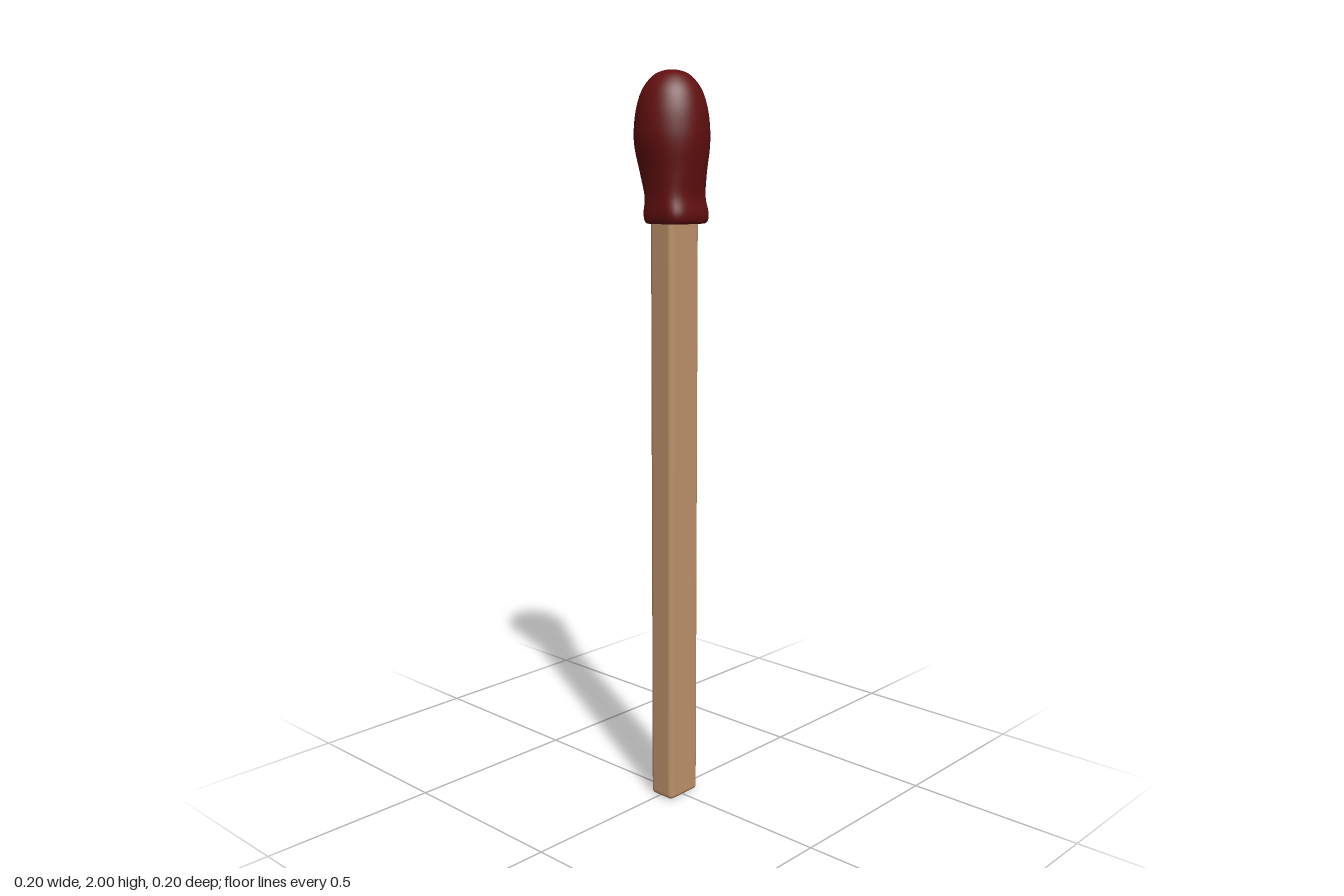
import * as THREE from 'three';
import { RoundedBoxGeometry } from 'three/addons/geometries/RoundedBoxGeometry.js';

const V = (x, y, z) => new THREE.Vector3(x, y, z);

// Head cross-sections: half width, height, half depth, centre z, squareness exponent
const HEAD = [
  [0, 1.612, 0, 0.012, 4],
  [0.055, 1.608, 0.05, 0.014, 4],
  [0.07, 1.612, 0.066, 0.015, 4],
  [0.076, 1.635, 0.071, 0.015, 3.6],
  [0.075, 1.68, 0.068, 0.011, 3],
  [0.083, 1.74, 0.083, 0.005, 2.4],
  [0.096, 1.8, 0.097, 0.001, 2.1],
  [0.1, 1.845, 0.1, 0, 2],
  [0.094, 1.9, 0.094, 0, 2],
  [0.078, 1.95, 0.078, 0, 2],
  [0.05, 1.985, 0.05, 0, 2],
  [0.022, 1.998, 0.022, 0, 2],
  [0, 2, 0, 0, 2],
];

// Loft smooth rings: squarish round the stick, round at the bulb
function headGeometry(rows = 48, sides = 48) {
  const size = new THREE.CatmullRomCurve3(HEAD.map(([w, y, d]) => V(w, y, d)), false, 'catmullrom', 0.5);
  const form = new THREE.CatmullRomCurve3(HEAD.map(([, , , cz, n]) => V(0, n, cz)), false, 'catmullrom', 0.5);
  const pos = [], index = [];
  for (let i = 0; i <= rows; i++) {
    const s = size.getPoint(i / rows), f = form.getPoint(i / rows);
    for (let j = 0; j < sides; j++) {
      const a = (j / sides) * Math.PI * 2, c = Math.cos(a), z = Math.sin(a);
      const r = Math.pow(Math.abs(c) ** f.y + Math.abs(z) ** f.y, -1 / f.y);
      pos.push(s.x * r * c, s.y, f.z + s.z * r * z);
      if (i === rows) continue;
      const p = i * sides + j, q = i * sides + ((j + 1) % sides);
      index.push(p, p + sides, q, q, p + sides, q + sides);
    }
  }
  const g = new THREE.BufferGeometry();
  g.setAttribute('position', new THREE.Float32BufferAttribute(pos, 3));
  g.setIndex(index);
  g.computeVertexNormals();
  return g;
}

export function createModel() {
  const wood = new THREE.MeshStandardMaterial({ color: 0xbd916a });
  wood.name = 'pale wood';
  const red = new THREE.MeshStandardMaterial({ color: 0x620f10 });
  red.name = 'dark red';

  const model = new THREE.Group();
  model.name = 'matchstick';

  // Rectangular stick with softened edges, reaching up inside the head
  const stick = new THREE.Mesh(new RoundedBoxGeometry(0.112, 1.7, 0.08, 4, 0.014), wood);
  stick.name = 'stick';
  stick.position.set(-0.001, 0.85, 0.01);

  const head = new THREE.Mesh(headGeometry(), red);
  head.name = 'head';

  model.add(stick, head);
  return model;
}
